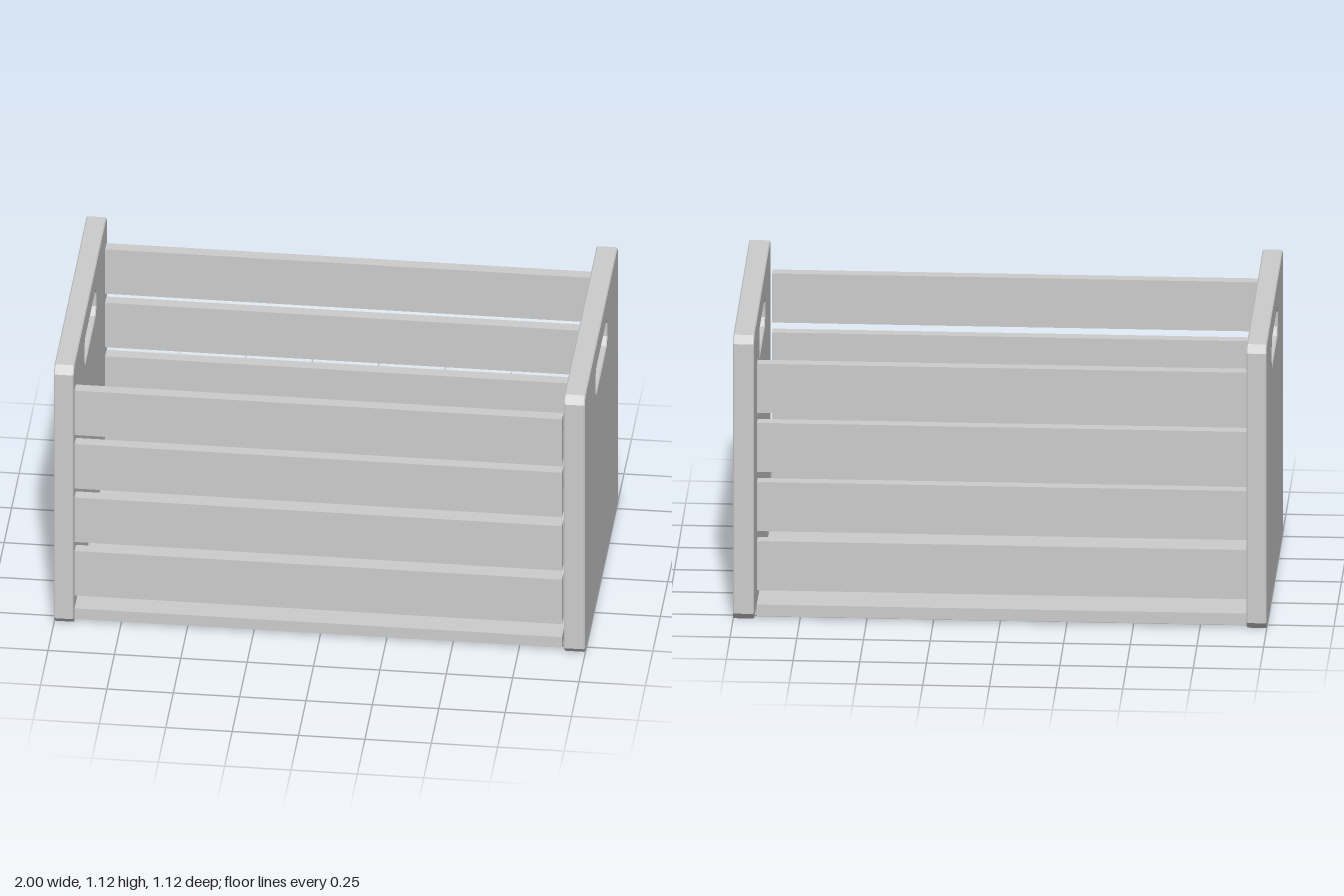
import * as THREE from 'three';

const material = new THREE.MeshStandardMaterial({ color: 0xcccccc, flatShading: true });

// Corner points of a rectangle with its corners cut off
function cutRect(x0, x1, y0, y1, c) {
  return [
    [x0 + c, y0], [x1 - c, y0], [x1, y0 + c], [x1, y1 - c],
    [x1 - c, y1], [x0 + c, y1], [x0, y1 - c], [x0, y0 + c],
  ].map(([x, y]) => new THREE.Vector2(x, y));
}

// End panel with a handle cut-out, spanning x0 to x1
function endPanel(name, x0, x1) {
  const b = 0.004;
  const shape = new THREE.Shape(cutRect(-0.5625, 0.5625, 0, 1.125, 0.028));
  shape.holes.push(new THREE.Path(cutRect(-0.2, 0.2, 0.911, 1.025, 0.028).reverse()));
  const geometry = new THREE.ExtrudeGeometry(shape, {
    depth: x1 - x0 - 2 * b, bevelThickness: b, bevelSize: b, bevelOffset: -b, bevelSegments: 1,
  });
  geometry.translate(0, 0, b).rotateY(Math.PI / 2).translate(x0, 0, 0);
  const mesh = new THREE.Mesh(geometry, material);
  mesh.name = name;
  return mesh;
}

// Board running between the end panels
function board(name, y0, y1, z0, z1) {
  const x0 = -0.925, x1 = 0.911;
  const mesh = new THREE.Mesh(new THREE.BoxGeometry(x1 - x0, y1 - y0, z1 - z0), material);
  mesh.position.set((x0 + x1) / 2, (y0 + y1) / 2, (z0 + z1) / 2);
  mesh.name = name;
  return mesh;
}

export function createModel() {
  const crate = new THREE.Group();
  crate.name = 'slattedCrate';

  crate.add(endPanel('rightEndPanel', -1, -0.925), endPanel('leftEndPanel', 0.921, 1));
  crate.add(board('basePanel', 0.01, 0.056, -0.535, 0.53));

  // Four slats on the front and four on the back
  for (let i = 0; i < 4; i++) {
    const y = 0.113 + i * 0.2345;
    crate.add(board(`frontSlat${i + 1}`, y, y + 0.195, 0.485, 0.53));
    crate.add(board(`backSlat${i + 1}`, y, y + 0.195, -0.535, -0.49));
  }
  return crate;
}
